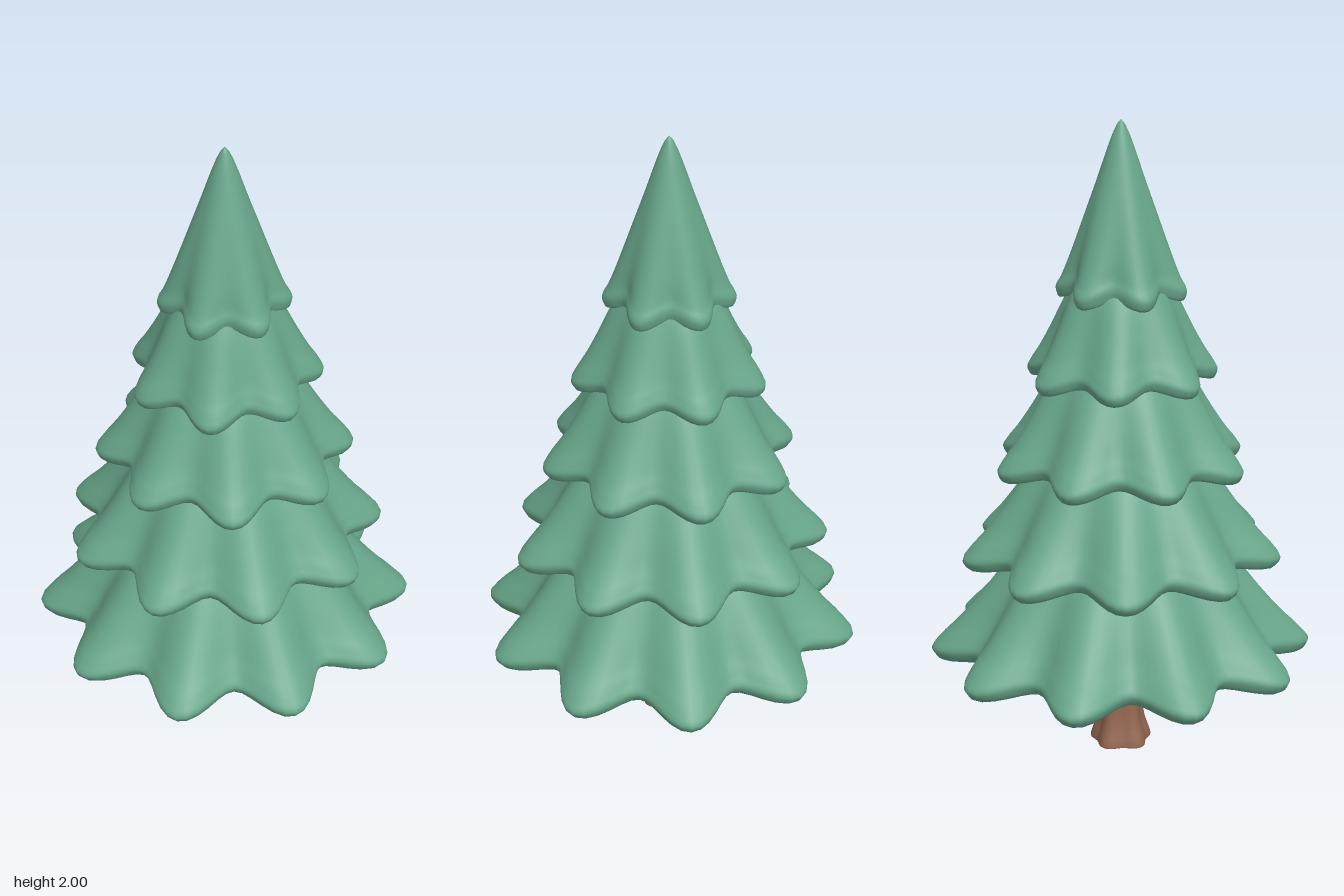
import * as THREE from 'three';

// Closed-around loft: profile rows are [tip radius, height, lobe weight], listed top to bottom.
// Between the lobe tips the radius shrinks and the height lifts.
function lobedLoft(rows, { lobes, depth, lift = 0, phase = 0, steps = 30, around = 12 }) {
  const curve = new THREE.CatmullRomCurve3(rows.map((r) => new THREE.Vector3(...r)), false, 'centripetal');
  const points = curve.getPoints(steps);
  const n = lobes * around;
  const position = [];
  const index = [];
  points.forEach((p, i) => {
    for (let j = 0; j < n; j++) {
      const a = (j / n) * Math.PI * 2;
      const valley = p.z * (1 - Math.cos(lobes * (a - phase))) / 2;
      const r = Math.max(p.x, 0) * (1 - depth * valley);
      position.push(r * Math.cos(a), p.y + lift * valley, r * Math.sin(a));
      if (i < points.length - 1) {
        const k = (j + 1) % n;
        const top = i * n;
        const low = top + n;
        index.push(top + j, top + k, low + j, top + k, low + k, low + j);
      }
    }
  });
  const geometry = new THREE.BufferGeometry();
  geometry.setAttribute('position', new THREE.Float32BufferAttribute(position, 3));
  geometry.setIndex(index);
  geometry.computeVertexNormals();
  return geometry;
}

export function createModel() {
  const tree = new THREE.Group();
  tree.name = 'pineTree';
  const needles = new THREE.MeshStandardMaterial({ color: 0x68a68a, side: THREE.DoubleSide });
  needles.name = 'needleGreen';
  const bark = new THREE.MeshStandardMaterial({ color: 0x936650 });
  bark.name = 'barkBrown';

  const add = (name, geometry, material) => {
    const mesh = new THREE.Mesh(geometry, material);
    mesh.name = name;
    tree.add(mesh);
  };

  // Trunk with a five-lobed flared foot, closed underneath
  add('trunk', lobedLoft([
    [0.045, 0.52, 0], [0.05, 0.38, 0.1], [0.056, 0.27, 0.3], [0.066, 0.16, 0.6],
    [0.08, 0.07, 0.9], [0.1, 0.002, 1], [0.098, 0, 1], [0.05, 0, 1], [0, 0, 0],
  ], { lobes: 5, depth: 0.18, phase: Math.PI / 2 }), bark);

  // Skirt profile in fractions of rim radius and tier height: outside, rounded lip, hollow underside
  const skirt = [
    [0.2, 1.75, 0], [0.4, 1.35, 0.25], [0.58, 1, 0.5], [0.74, 0.63, 0.7], [0.87, 0.36, 0.9],
    [0.96, 0.2, 1], [1, 0.1, 1], [0.975, 0.02, 1], [0.9, 0, 0.9],
    [0.7, 0.1, 0.5], [0.4, 0.27, 0.2], [0.12, 0.45, 0],
  ];
  // Each tier upward has one lobe fewer
  const tiers = [
    { name: 'bottomTier', lobes: 10, radius: 0.6, base: 0.3, height: 0.33 },
    { name: 'lowerTier', lobes: 9, radius: 0.5, base: 0.62, height: 0.3 },
    { name: 'middleTier', lobes: 8, radius: 0.4, base: 0.92, height: 0.28 },
    { name: 'upperTier', lobes: 7, radius: 0.3, base: 1.2, height: 0.26 },
  ];
  for (const t of tiers) {
    const rows = skirt.map(([s, h, w]) => [s * t.radius, t.base + h * t.height, w]);
    add(t.name, lobedLoft(rows, { lobes: t.lobes, depth: 0.2, lift: 0.03, steps: 44 }), needles);
  }

  // Pointed top tier
  add('topTier', lobedLoft([
    [0, 2, 0], [0.012, 1.985, 0], [0.08, 1.8, 0.25], [0.152, 1.6, 0.6], [0.182, 1.525, 0.9],
    [0.2, 1.485, 1], [0.195, 1.465, 1], [0.175, 1.46, 0.9], [0.1, 1.5, 0.4], [0.03, 1.54, 0],
  ], { lobes: 6, depth: 0.23, lift: 0.025, steps: 44 }), needles);

  return tree;
}
